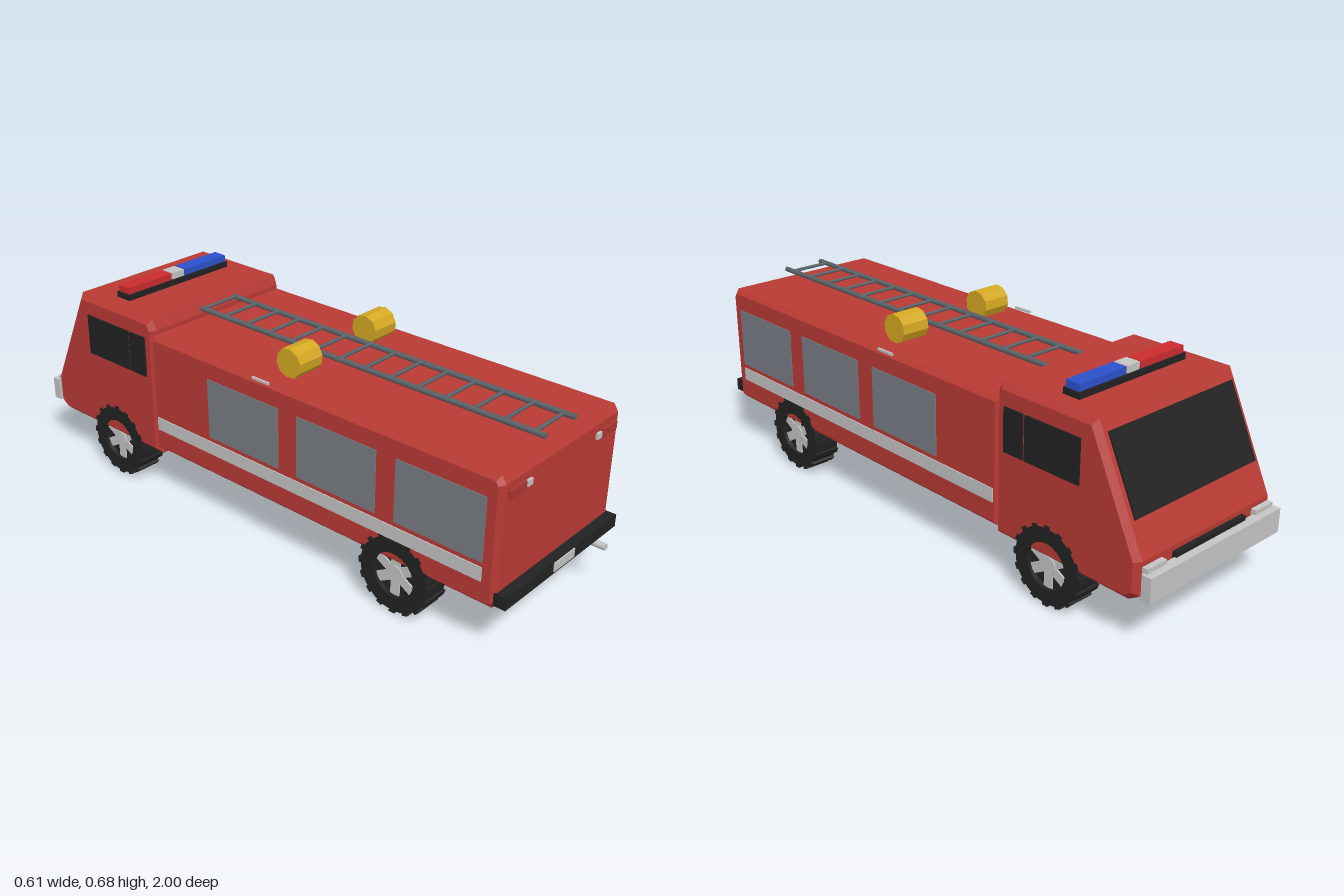
import * as THREE from 'three';

const mat = (name, color) => {
  const m = new THREE.MeshStandardMaterial({ color });
  m.name = name;
  return m;
};

export function createModel() {
  const red = mat('body red', 0xb93a34);
  const tailRed = mat('tail light red', 0xab3630);
  const black = mat('black', 0x222222);
  const glass = mat('grey glass', 0x787d84);
  const steel = mat('ladder steel', 0x5c6368);
  const silver = mat('silver', 0xc4c4c4);
  const yellow = mat('yellow', 0xd4a822);
  const lampRed = mat('beacon red', 0xcc2b2e);
  const lampBlue = mat('beacon blue', 0x2b52cc);

  const truck = new THREE.Group();
  truck.name = 'fireTruck';

  const add = (name, geo, material, parent = truck) => {
    const mesh = new THREE.Mesh(geo, material);
    mesh.name = name;
    parent.add(mesh);
    return mesh;
  };
  // Box given by its limits on each axis
  const box = (name, material, [x0, x1], [y0, y1], [z0, z1], parent) => {
    const mesh = add(name, new THREE.BoxGeometry(x1 - x0, y1 - y0, z1 - z0), material, parent);
    mesh.position.set((x0 + x1) / 2, (y0 + y1) / 2, (z0 + z1) / 2);
    return mesh;
  };
  // Side profile (forward, up) extruded across the width, with chamfered edges
  const hull = (points, width, bevel) => {
    const shape = new THREE.Shape(points.map(([s, y]) => new THREE.Vector2(s, y)));
    const depth = width - 2 * bevel;
    return new THREE.ExtrudeGeometry(shape, {
      depth, bevelEnabled: bevel > 0, bevelThickness: bevel, bevelSize: bevel,
      bevelOffset: -bevel, bevelSegments: 1,
    }).translate(0, 0, -depth / 2).rotateY(Math.PI / 2);
  };

  // Rear body and cab
  add('rearBody', hull([
    [-0.93, 0.17], [0.43, 0.17], [0.43, 0.585], [-0.93, 0.585], [-0.945, 0.562], [-0.945, 0.185],
  ], 0.595, 0.015), red);
  add('cab', hull([
    [0.415, 0.15], [0.92, 0.15], [0.96, 0.175], [0.96, 0.28], [0.79, 0.635],
    [0.43, 0.635], [0.415, 0.6],
  ], 0.595, 0.018), red);
  box('underbody', black, [-0.2, 0.2], [0.152, 0.175], [-0.415, 0.88]);

  // Windscreen lying on the sloped cab front
  const slope = (t, out) => [0.79 + 0.17 * t + 0.902 * out, 0.635 - 0.355 * t + 0.432 * out];
  add('windscreen', hull([slope(0.1, -0.002), slope(0.72, -0.002), slope(0.72, 0.006), slope(0.1, 0.006)],
    0.53, 0), black);

  // Side details, mirrored
  for (const [side, k] of [['left', 1], ['right', -1]]) {
    const plate = (name, material, out, y, z) =>
      box(side + name, material, k > 0 ? [0.295, out] : [-out, -0.295], y, z);
    plate('CabRearWindow', black, 0.303, [0.43, 0.57], [-0.53, -0.455]);
    plate('CabFrontWindow', black, 0.303, [0.43, 0.57], [-0.745, -0.538]);
    for (const z of [0.595, 0.22, -0.16]) plate('BodyWindow', glass, 0.3, [0.31, 0.515], [z, z + 0.305]);
    plate('Stripe', silver, 0.301, [0.25, 0.295], [-0.41, 0.9]);
    plate('RoofMarker', silver, 0.302, [0.581, 0.589], [0.04, 0.11]);

    // Rear lamps
    const span = (a, b) => (k > 0 ? [a, b] : [-b, -a]);
    box(side + 'TailLight', tailRed, span(0.195, 0.27), [0.515, 0.54], [0.94, 0.953]);
    box(side + 'ReverseLight', silver, span(0.165, 0.188), [0.518, 0.537], [0.94, 0.953]);
    box(side + 'Headlight', silver, span(0.2, 0.28), [0.2, 0.265], [-0.978, -0.95]);

    // Hose reel: ten-sided drum
    const reel = add(side + 'HoseReel', new THREE.CylinderGeometry(0.049, 0.049, 0.1, 10)
      .toNonIndexed(), yellow);
    reel.geometry.rotateY(THREE.MathUtils.degToRad(10)).rotateZ(Math.PI / 2);
    reel.geometry.computeVertexNormals();
    reel.position.set(k * 0.175, 0.63, 0.12);
  }

  // Bumpers, grille, plate and exhaust
  box('frontBumper', silver, [-0.29, 0.29], [0.172, 0.25], [-1, -0.968]);
  box('frontBumperMount', black, [-0.26, 0.26], [0.185, 0.235], [-0.97, -0.95]);
  box('grille', black, [-0.155, 0.155], [0.19, 0.265], [-0.975, -0.95]);
  box('rearBumper', black, [-0.29, 0.29], [0.185, 0.226], [0.93, 0.978]);
  box('numberPlate', silver, [-0.053, 0.053], [0.194, 0.223], [0.975, 0.982]);
  const exhaust = add('exhaust', new THREE.CylinderGeometry(0.011, 0.011, 0.14, 12).rotateX(Math.PI / 2), silver);
  exhaust.position.set(0.205, 0.16, 0.93);

  // Light bar
  box('lightBarBase', black, [-0.227, 0.227], [0.632, 0.655], [-0.67, -0.608]);
  box('redBeacon', lampRed, [-0.222, -0.032], [0.655, 0.678], [-0.664, -0.614]);
  box('centreBeacon', silver, [-0.027, 0.026], [0.655, 0.678], [-0.664, -0.614]);
  box('blueBeacon', lampBlue, [0.031, 0.222], [0.655, 0.678], [-0.664, -0.614]);

  // Roof ladder
  const ladder = new THREE.Group();
  ladder.name = 'ladder';
  truck.add(ladder);
  for (const x of [-0.075, 0.075]) {
    const rail = add('ladderRail', new THREE.CylinderGeometry(0.009, 0.009, 1.345, 8).rotateX(Math.PI / 2), steel, ladder);
    rail.position.set(x, 0.616, 0.2525);
  }
  for (let i = 0; i < 14; i++) {
    const rung = add('ladderRung', new THREE.CylinderGeometry(0.006, 0.006, 0.15, 8).rotateZ(Math.PI / 2), steel, ladder);
    rung.position.set(0, 0.616, -0.412 + i * 0.1);
  }

  // Wheels: tyre ring with lugs around a recessed six-spoke rim, outer face along +x
  const makeWheel = () => {
    const wheel = new THREE.Group();
    const ring = new THREE.Shape().absarc(0, 0, 0.122, 0, Math.PI * 2);
    ring.holes.push(new THREE.Path().absarc(0, 0, 0.074, 0, Math.PI * 2, true));
    add('tyre', new THREE.ExtrudeGeometry(ring, { depth: 0.092, bevelEnabled: false, curveSegments: 12 })
      .translate(0, 0, -0.046).rotateY(Math.PI / 2), black, wheel);
    for (let i = 0; i < 16; i++) {
      const a = (i / 16) * Math.PI * 2;
      const lug = add('tyreLug', new THREE.BoxGeometry(0.092, 0.02, 0.02), black, wheel);
      lug.position.set(0, Math.cos(a) * 0.12, Math.sin(a) * 0.12);
      lug.rotation.x = a;
    }
    add('rimBack', new THREE.CylinderGeometry(0.075, 0.075, 0.06, 24).rotateZ(Math.PI / 2), black, wheel);
    add('hub', new THREE.CylinderGeometry(0.03, 0.03, 0.078, 16).rotateZ(Math.PI / 2), silver, wheel);
    for (let i = 0; i < 6; i++) {
      const a = (i / 6) * Math.PI * 2;
      const spoke = add('spoke', new THREE.BoxGeometry(0.07, 0.056, 0.032), silver, wheel);
      spoke.position.set(0, Math.cos(a) * 0.046, Math.sin(a) * 0.046);
      spoke.rotation.x = a;
    }
    return wheel;
  };
  for (const [end, z] of [['front', -0.63], ['rear', 0.6]]) {
    for (const [side, k] of [['Left', 1], ['Right', -1]]) {
      const wheel = makeWheel();
      wheel.name = end + side + 'Wheel';
      wheel.position.set(k * 0.253, 0.13, z);
      if (k < 0) wheel.rotation.y = Math.PI;
      truck.add(wheel);
    }
  }

  return truck;
}
